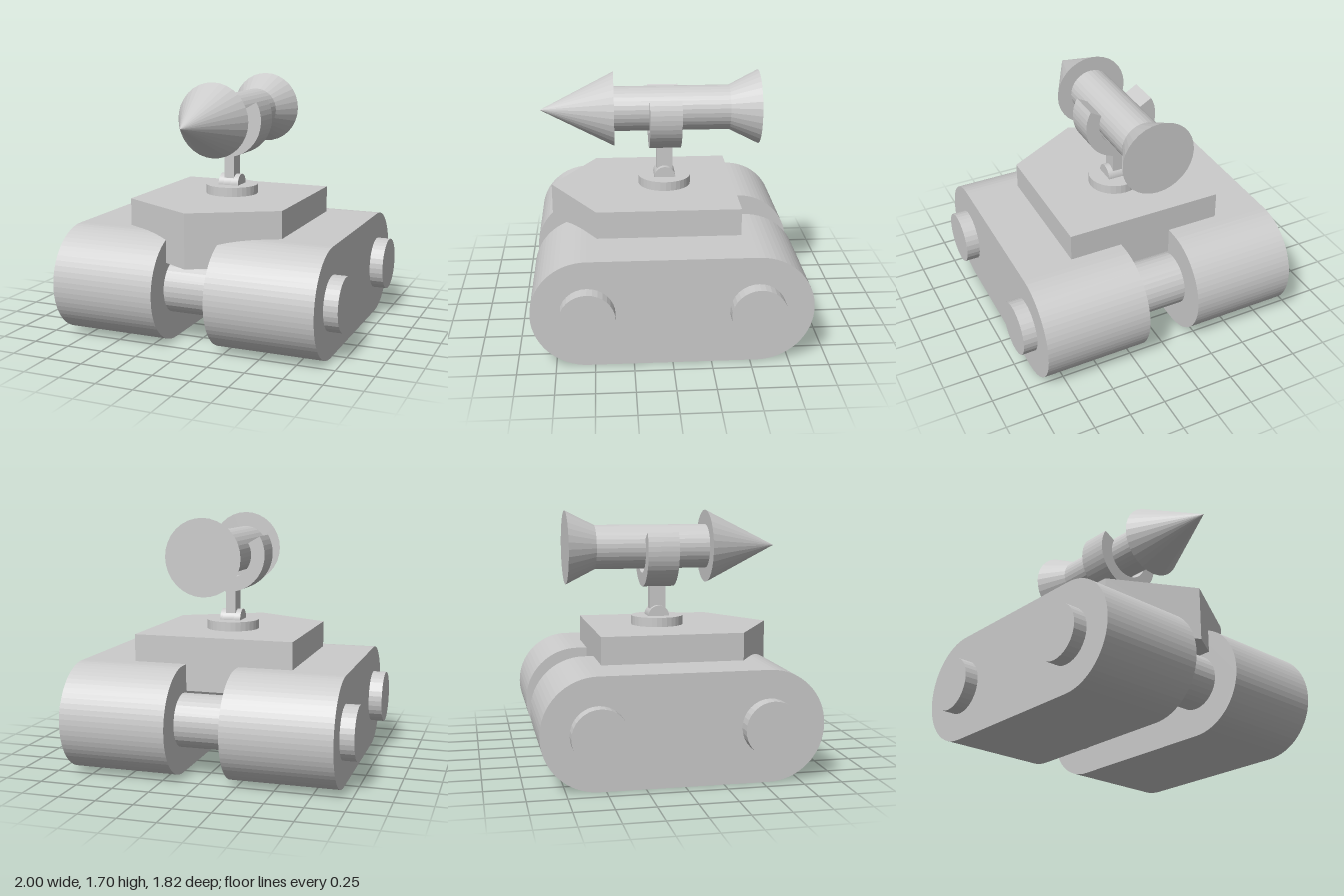
import * as THREE from 'three';

const material = new THREE.MeshStandardMaterial({ color: 0xcccccc, flatShading: true });

function add(parent, name, geometry, x = 0, y = 0, z = 0) {
  const mesh = new THREE.Mesh(geometry, material);
  mesh.name = name;
  mesh.position.set(x, y, z);
  parent.add(mesh);
  return mesh;
}

// Extrusion centred on its own depth
function slab(shape, depth, curveSegments = 16) {
  return new THREE.ExtrudeGeometry(shape, { depth, bevelEnabled: false, curveSegments })
    .translate(0, 0, -depth / 2);
}

export function createModel() {
  const model = new THREE.Group();
  model.name = 'missileTank';
  const R = 0.363, axleZ = 0.545;

  // Tracks: stadium profile extruded across x
  const track = new THREE.Shape();
  track.absarc(axleZ, 0, R, -Math.PI / 2, Math.PI / 2, false);
  track.absarc(-axleZ, 0, R, Math.PI / 2, Math.PI * 1.5, false);
  const trackGeometry = slab(track, 0.725).rotateY(Math.PI / 2);
  add(model, 'leftTrack', trackGeometry, 0.544, R, 0);
  add(model, 'rightTrack', trackGeometry, -0.544, R, 0);

  // Axles running through both tracks
  const axle = new THREE.CylinderGeometry(0.18, 0.18, 2, 32).rotateZ(Math.PI / 2);
  add(model, 'frontAxle', axle, 0, R, axleZ);
  add(model, 'rearAxle', axle, 0, R, -axleZ);

  // Hull: pentagonal plan with a pointed nose
  const plan = new THREE.Shape([
    [-0.545, -0.785 + 0.31], [0, -0.785], [0.545, -0.475], [0.545, 0.475], [-0.545, 0.475],
  ].map(([x, y]) => new THREE.Vector2(x, y)));
  add(model, 'hull', slab(plan, 0.365).rotateX(-Math.PI / 2), 0, 0.7275, 0);

  // Launcher mount: turntable, half-round pivot and post
  add(model, 'turntable', new THREE.CylinderGeometry(0.18, 0.18, 0.064, 32), 0, 0.941, 0);
  const halfDisc = new THREE.Shape();
  halfDisc.absarc(0, 0, 0.073, 0, Math.PI, false);
  halfDisc.closePath();
  add(model, 'pivot', slab(halfDisc, 0.145).rotateY(Math.PI / 2), 0, 0.972, 0);
  add(model, 'post', new THREE.BoxGeometry(0.07, 0.225, 0.11), 0, 1.0875, 0);

  // Cradle: ring segment open at the top
  const end = Math.PI / 6;
  const ring = new THREE.Shape();
  ring.absarc(0, 0, 0.255, Math.PI - end, Math.PI * 2 + end, false);
  ring.absarc(0, 0, 0.16, Math.PI * 2 + end, Math.PI - end, true);
  ring.closePath();
  add(model, 'cradle', slab(ring, 0.214), 0, 1.43, 0);

  // Missile: pointed nose, body and flared tail along z
  const missile = new THREE.Group();
  missile.name = 'missile';
  missile.position.set(0.007, 1.45, 0);
  model.add(missile);
  const section = (name, rFront, rBack, zFront, zBack) => add(
    missile, name,
    new THREE.CylinderGeometry(rFront, rBack, zFront - zBack, 32).rotateX(Math.PI / 2),
    0, 0, (zFront + zBack) / 2);
  section('nose', 0, 0.252, 0.845, 0.345);
  section('body', 0.152, 0.152, 0.345, -0.44);
  section('tail', 0.152, 0.252, -0.44, -0.64);

  return model;
}
